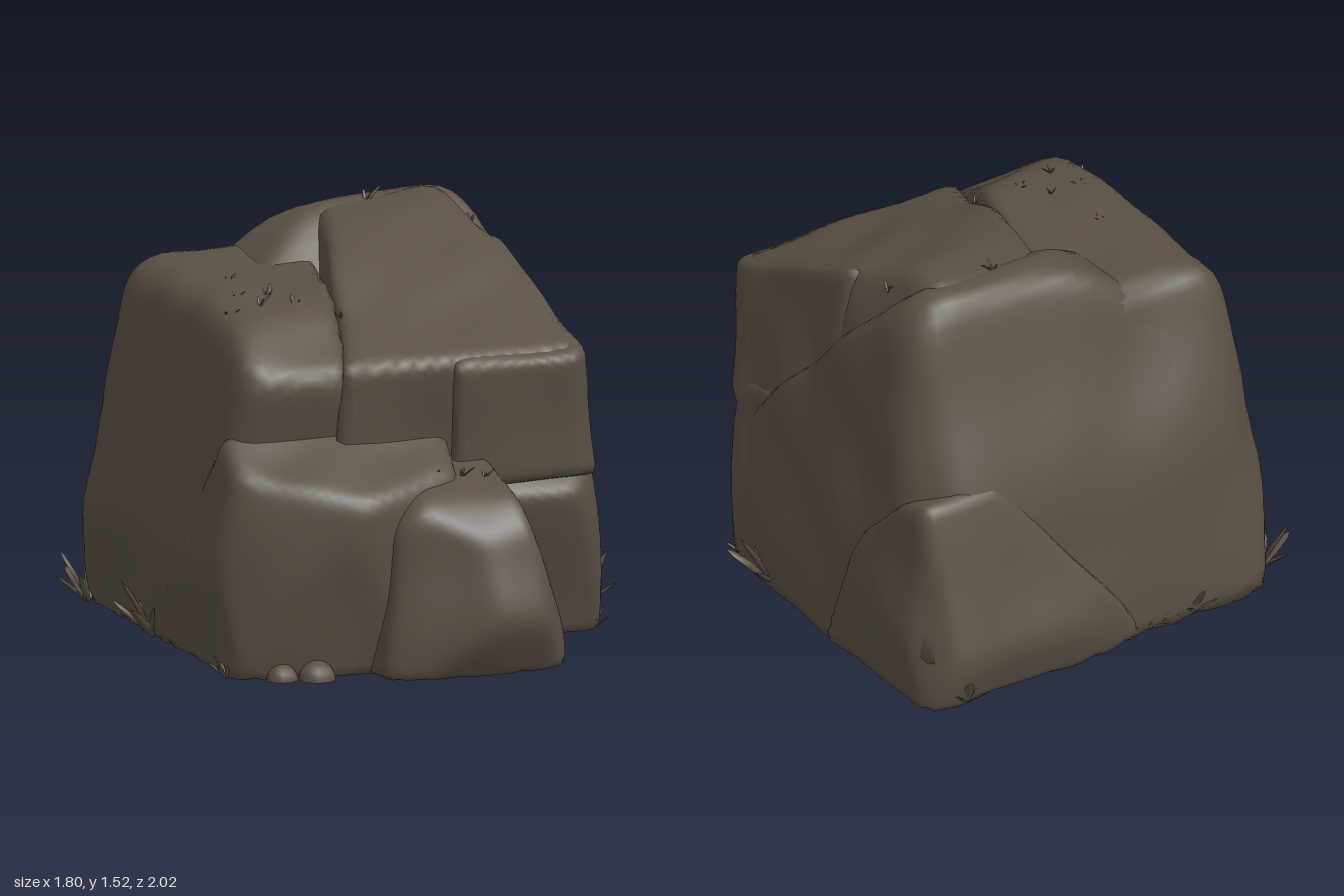
import * as THREE from 'three';
import { mergeVertices } from 'three/addons/utils/BufferGeometryUtils.js';

const stone = new THREE.MeshStandardMaterial({ color: 0x5a5045 });
stone.name = 'brown stone';

// Gentle weathering, the same everywhere in space
function weather(p) {
  return 0.006 * Math.sin(p.x * 9 + p.y * 5 + 1) + 0.006 * Math.sin(p.y * 11 - p.z * 7)
    + 0.004 * Math.sin(p.z * 17 + p.x * 13 + 2);
}

// A boulder is a sphere pulled onto a set of softly blended cutting planes.
// Each plane is [normal x, y, z, point x, y, z]; the ground cuts it flat.
function boulder(name, center, planes, detail = 20, sharpness = 28) {
  const c = new THREE.Vector3(...center);
  const cuts = planes.map(([a, b, d, x, y, z]) => {
    const n = new THREE.Vector3(a, b, d).normalize();
    return { n, dist: n.dot(new THREE.Vector3(x, y, z).sub(c)) };
  });
  let geo = new THREE.IcosahedronGeometry(1, detail);
  geo.deleteAttribute('uv');
  geo.deleteAttribute('normal');
  geo = mergeVertices(geo, 1e-5);
  const pos = geo.attributes.position;
  const dir = new THREE.Vector3(), p = new THREE.Vector3();
  for (let i = 0; i < pos.count; i++) {
    dir.fromBufferAttribute(pos, i).normalize();
    let sum = 0;
    for (const { n, dist } of cuts) sum += Math.max(0, n.dot(dir) / dist) ** sharpness;
    let r = Math.min(sum ** (-1 / sharpness), 3);
    r += weather(p.copy(dir).multiplyScalar(r).add(c));
    if (dir.y < 0) r = Math.min(r, -c.y / dir.y);
    p.copy(dir).multiplyScalar(r).add(c);
    pos.setXYZ(i, p.x, p.y, p.z);
  }
  geo.computeVertexNormals();
  const mesh = new THREE.Mesh(geo, stone);
  mesh.name = name;
  return mesh;
}

// A flattened, pointed blade standing on its base
const bladeGeo = new THREE.SphereGeometry(0.5, 4, 4);
{
  const pos = bladeGeo.attributes.position;
  for (let i = 0; i < pos.count; i++) {
    const t = pos.getY(i) + 0.5;
    pos.setXYZ(i, pos.getX(i) * 0.26, t, pos.getZ(i) * 0.08 + 0.12 * t * t);
  }
  bladeGeo.computeVertexNormals();
}

// A fan of blades leaning outward along the heading (0 = +z, PI/2 = +x)
function tuft(x, y, z, heading, size, count = 5) {
  const g = new THREE.Group();
  g.name = 'grassTuft';
  for (let i = 0; i < count; i++) {
    const s = i / (count - 1) * 2 - 1;
    const blade = new THREE.Mesh(bladeGeo, stone);
    blade.name = 'blade';
    blade.rotation.order = 'YXZ';
    blade.rotation.set(0.4 + 0.35 * (i % 2), s * 1.3, 0);
    blade.scale.setScalar(size * (1 - 0.4 * Math.abs(s)));
    g.add(blade);
  }
  g.position.set(x, y, z);
  g.rotation.y = heading;
  return g;
}

export function createModel() {
  const model = new THREE.Group();
  model.name = 'boulder';

  // Planes shared by the tall rocks
  const leftSide = [[-1, 0.2, 0, -0.84, 0.4, 0], [-1, -0.2, 0, -0.84, 0.4, 0]];
  const backSide = [[0, 0.32, -1, 0, 0.8, -0.81], [0, 0.03, -1, 0, 0.3, -0.88],
    [-1, 0.2, -1, -0.73, 0.5, -0.75]];
  const topStep = [-0.6, 0.8, 0, -0.2, 1.37, 0];

  model.add(
    boulder('mainRock', [0, 0.6, -0.15], [
      ...leftSide, ...backSide, topStep,
      [1, 0.13, 0, 0.79, 0.3, 0], [1, -0.1, 0, 0.8, 0.15, 0],
      [1, 0.3, -1, 0.63, 0.9, -0.73],
      [1, 1, 0, 0.65, 1.37, 0],
      [-0.1, 1, -0.1, 0.35, 1.51, -0.35],
      [0, 0.7, 0.75, 0, 0.8, 0.2],
      [0, -0.3, 1, 0, 0.25, 0.46],
      [1, 0, 1, 0.74, 0.3, 0.38],
    ], 28),
    boulder('rightFootRock', [0.4, 0.36, 0.15], [
      [1, 0.13, 0, 0.77, 0.3, 0], [1, -0.1, 0, 0.79, 0.15, 0],
      [0, -0.34, 1, 0, 0.25, 0.47],
      [0, 1, 0.1, 0, 0.74, 0.4],
      [0, 0.7, 0.75, 0, 0.8, 0.36],
      [1, 0, 1, 0.74, 0.3, 0.44],
      [-1, 0, 0, 0, 0, 0], [0, 0, -1, 0, 0, -0.2],
    ]),
    boulder('leftRock', [-0.45, 0.6, -0.1], [
      ...leftSide, ...backSide,
      [1, 0, 0.25, -0.24, 0, 0.4],
      [0, 1, 0.04, -0.5, 1.3, 0],
      [-1, 1.2, 0, -0.67, 1.24, 0],
      [0, 1, 0.8, 0, 1.2, 0.42],
      [0, -0.25, 1, 0, 1.05, 0.57],
      [-1, 0, 1, -0.72, 0.9, 0.49],
    ]),
    boulder('slopingSlab', [0.2, 0.95, 0.1], [
      topStep,
      [1, 0.2, 0, 0.68, 0.8, 0],
      [-1, 0.1, -0.28, -0.25, 1, 0.3],
      [0, 0.92, 0.39, 0, 1.28, 0.2],
      [-0.13, 1, 0, 0.3, 1.49, 0],
      [0, 0.3, -1, 0, 1.45, -0.54],
      [0, -0.12, 1, 0, 1, 0.585],
      [0, -1, 0.3, 0, 0.6, 0.5],
      [1, 0.6, 0, 0.61, 1.28, 0],
      [1, 0, 1, 0.66, 0.9, 0.52],
    ]),
    boulder('rightBrow', [0.4, 0.9, 0.3], [
      [-1, 0, 0, 0.11, 0, 0],
      [1, 0.2, 0, 0.69, 0.8, 0],
      [0, 0.92, 0.39, 0, 1.27, 0.2],
      [0, -0.12, 1, 0, 1, 0.62],
      [0, -1, 0.3, 0, 0.61, 0.5],
      [0, 0, -1, 0, 0, -0.1],
      [1, 0, 1, 0.65, 0.9, 0.56],
    ]),
    boulder('frontLeftRock', [-0.4, 0.35, 0.35], [
      [-1, 0.15, 0, -0.83, 0.4, 0], [-1, -0.2, 0, -0.84, 0.4, 0],
      [-0.37, 0.1, 0.93, -0.5, 0.5, 0.79],
      [-0.2, -0.3, 1, -0.4, 0.45, 0.83],
      [0.3, 0, 1, -0.3, 0.5, 0.83],
      [0, 1, 0.6, -0.4, 0.8, 0.6],
      [1, 0, 0.2, 0.1, 0.4, 0.6],
      [-1, 0, 1, -0.78, 0.4, 0.63],
      [0, 0.6, -1, 0, 0.8, 0.42],
    ]),
    boulder('frontRock', [0.12, 0.3, 0.6], [
      [-0.45, 0.05, 1, -0.05, 0.4, 0.92],
      [0.1, 0.2, 1, 0.2, 0.4, 0.98],
      [0, -0.6, 1, 0.2, 0.2, 1.01],
      [0, 1, 0.3, 0.1, 0.68, 0.75],
      [0, 1, 1, 0.1, 0.59, 0.9],
      [-1, 1, 0.3, -0.14, 0.66, 0.7],
      [1, 0.4, 0.12, 0.45, 0.2, 0.65],
      [1, 0, 0.1, 0.49, 0.1, 0.6],
      [1, 0.1, 0.6, 0.38, 0.3, 0.89],
      [-1, 0.1, 0.1, -0.23, 0.5, 0.7],
      [0, 0, -1, 0, 0, 0.2],
    ]),
    boulder('backRock', [0.4, 0.3, -0.6], [
      [1, 0.15, 0, 0.81, 0.3, 0], [1, -0.1, 0, 0.81, 0.2, 0],
      [0, 0.16, 0.48, 0, 0.3, -0.36],
      [0, 0.48, 0.48, 0, 0.6, -0.5],
      [0, 1, 0.3, 0, 0.79, -0.74],
      [0, 0.28, -1, 0, 0.2, -0.98],
      [0, -0.3, -1, 0, 0.2, -0.98],
      [-0.72, 0.55, 0, 0.07, 0.36, 0],
      [-0.35, 0, -1, 0, 0.3, -0.94],
      [1, 0.15, -1, 0.74, 0.4, -0.87],
    ]),
  );

  // Pebbles at the front foot
  for (const [x, z, r] of [[-0.6, 0.67, 0.06], [-0.48, 0.71, 0.07]]) {
    const pebble = new THREE.Mesh(new THREE.SphereGeometry(r, 10, 6, 0, Math.PI * 2, 0, Math.PI / 2), stone);
    pebble.name = 'pebble';
    pebble.position.set(x, 0, z);
    model.add(pebble);
  }

  // Grass around the foot: x, z, heading, size
  const H = Math.PI / 2;
  for (const [x, z, heading, size] of [
    [0.76, 0.15, H, 0.27], [-0.77, -0.74, -2.2, 0.22], [-0.4, -0.86, Math.PI, 0.16],
    [0.62, -0.92, 2.8, 0.15], [-0.77, -0.13, -H, 0.26], [-0.78, 0.58, -H, 0.11],
    [0.53, 0.42, 0.4, 0.11], [0.74, 0.37, H, 0.1],
  ]) model.add(tuft(x, 0, z, heading, size));

  // Small sprouts along the right foot and the back
  for (let i = 0; i < 6; i++) {
    model.add(tuft(0.775, 0.03, -0.13 - i * 0.085, H, 0.06, 2));
    model.add(tuft(-0.3 + i * 0.06, 0.02, -0.88, Math.PI, 0.06, 2));
  }

  // Sprouts on the upper ledges: x, y, z, size
  for (const [x, y, z, size] of [
    [-0.62, 1.24, 0.2, 0.07], [-0.55, 1.27, 0.08, 0.07], [-0.5, 1.28, 0.22, 0.07],
    [-0.42, 1.28, 0.1, 0.07], [-0.36, 1.26, 0.22, 0.07], [-0.47, 1.28, -0.15, 0.06],
    [-0.2, 1.22, 0.27, 0.06], [0.2, 1.46, -0.46, 0.09], [0.54, 1.39, -0.28, 0.08],
    [0.0, 0.69, 0.66, 0.07], [0.1, 0.69, 0.68, 0.07], [0.18, 0.68, 0.7, 0.06],
  ]) model.add(tuft(x, y, z, x * 9, size, 3));

  return model;
}
